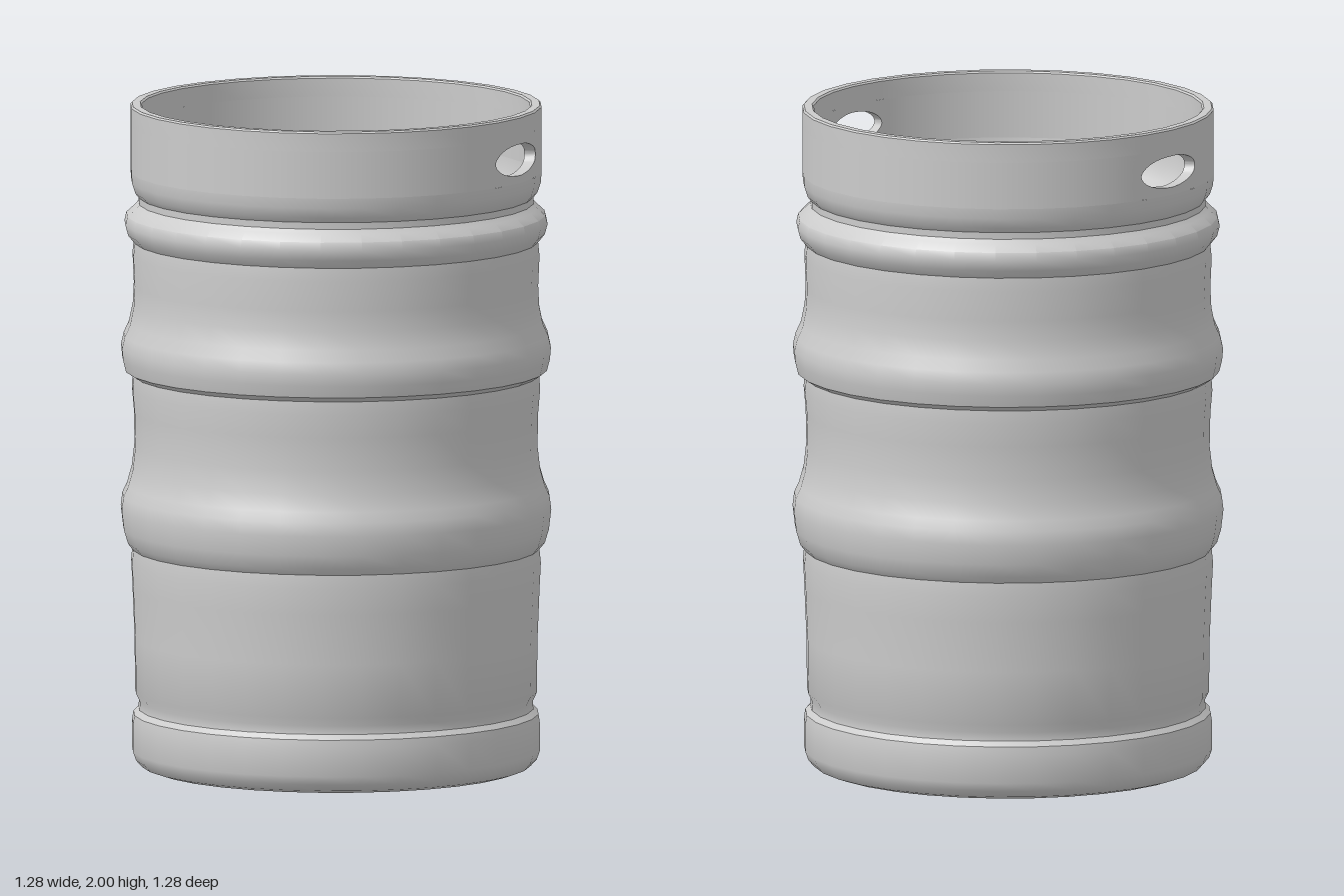
import * as THREE from 'three';
import { toCreasedNormals } from 'three/addons/utils/BufferGeometryUtils.js';

const SEGMENTS = 32;
const STEP = (Math.PI * 2) / SEGMENTS;
const OUTER = 0.612, INNER = 0.578;        // collar wall radii
const WALL_LOW = 1.8, WALL_HIGH = 1.94;    // pierced zone of the collar
const material = new THREE.MeshStandardMaterial({ color: 0xcccccc });

const vectors = (points) => points.map(([r, y]) => new THREE.Vector2(r, y));

function addMesh(parent, name, geometry) {
  const mesh = new THREE.Mesh(geometry, material);
  mesh.name = name;
  parent.add(mesh);
  return mesh;
}

// Full turned part with crisp profile corners
function turned(points) {
  return toCreasedNormals(new THREE.LatheGeometry(vectors(points), SEGMENTS), 0.6);
}

// Curved piece of collar with an oval grip hole, facing +x
function gripPanel() {
  const count = 48, wallSteps = 6;
  const midY = (WALL_LOW + WALL_HIGH) / 2, halfY = (WALL_HIGH - WALL_LOW) / 2;
  const halfAngle = STEP * 2, holeAngle = 0.215, holeY = 0.047;
  const rings = [];
  // Inner wall towards the hole, then outer wall away from it
  for (let i = wallSteps; i >= 0; i--) rings.push([INNER, i / wallSteps]);
  for (let i = 0; i <= wallSteps; i++) rings.push([OUTER, i / wallSteps]);

  const positions = [], index = [];
  rings.forEach(([radius, s], row) => {
    for (let j = 0; j < count; j++) {
      const t = (j / count) * Math.PI * 2, c = Math.cos(t), d = Math.sin(t);
      const m = Math.max(Math.abs(c), Math.abs(d));
      const angle = -THREE.MathUtils.lerp(holeAngle * c, (halfAngle * c) / m, s);
      const y = midY + THREE.MathUtils.lerp(holeY * d, (halfY * d) / m, s);
      // Follow the same facets as the turned parts
      const local = angle - Math.floor(angle / STEP + 1e-6) * STEP - STEP / 2;
      const r = (radius * Math.cos(STEP / 2)) / Math.cos(local);
      positions.push(r * Math.cos(angle), y, r * Math.sin(angle));
      if (row === 0) continue;
      const k = (j + 1) % count, low = (row - 1) * count, high = row * count;
      index.push(low + j, high + j, high + k, low + j, high + k, low + k);
    }
  });
  let geometry = new THREE.BufferGeometry();
  geometry.setAttribute('position', new THREE.Float32BufferAttribute(positions, 3));
  geometry.setIndex(index);
  geometry = toCreasedNormals(geometry, 0.6);

  // Round shading on the walls so they blend into the collar
  const p = geometry.attributes.position, n = geometry.attributes.normal;
  for (let i = 0; i < p.count; i++) {
    const length = Math.hypot(p.getX(i), p.getZ(i));
    const x = p.getX(i) / length, z = p.getZ(i) / length;
    const facing = n.getX(i) * x + n.getZ(i) * z;
    if (Math.abs(facing) > 0.8) n.setXYZ(i, x * Math.sign(facing), 0, z * Math.sign(facing));
  }
  return geometry;
}

export function createModel() {
  const keg = new THREE.Group();
  keg.name = 'keg';

  // Underside with drain hole, foot ring, ribbed barrel and neck groove
  addMesh(keg, 'barrel', turned([
    [0.05, 0], [0.33, 0], [0.55, 0.01], [0.58, 0.02], [0.598, 0.04], [0.607, 0.065],
    [0.607, 0.15], [0.603, 0.175], [0.588, 0.19], [0.586, 0.215], [0.598, 0.24],
    [0.6, 0.4], [0.606, 0.55], [0.61, 0.63], [0.606, 0.67],
    [0.622, 0.69], [0.634, 0.73], [0.641, 0.79], [0.636, 0.83], [0.622, 0.86],
    [0.608, 0.91], [0.6, 0.98], [0.602, 1.08], [0.608, 1.15], [0.605, 1.19],
    [0.628, 1.205], [0.637, 1.24], [0.64, 1.275], [0.632, 1.31], [0.616, 1.345],
    [0.605, 1.4], [0.602, 1.46], [0.606, 1.55], [0.602, 1.59],
    [0.622, 1.615], [0.63, 1.645], [0.624, 1.67], [0.6, 1.692], [0.588, 1.705],
    [0.588, 1.725], [0.6, 1.74], [0.61, 1.77], [OUTER, WALL_LOW],
  ]));

  // Collar walls between the grips
  const collar = new THREE.Group();
  collar.name = 'collar';
  keg.add(collar);
  const walls = {
    collarOuterWall: [[OUTER, WALL_LOW], [OUTER, WALL_HIGH]],
    collarInnerWall: [[INNER, WALL_HIGH], [INNER, WALL_LOW]],
  };
  for (const side of [0, Math.PI]) {
    for (const [name, points] of Object.entries(walls)) {
      addMesh(collar, name, new THREE.LatheGeometry(
        vectors(points), SEGMENTS / 2 - 4, Math.PI / 2 + STEP * 2 + side, Math.PI - STEP * 4));
    }
  }

  // Grip openings on both sides
  const panel = gripPanel();
  addMesh(collar, 'leftGrip', panel);
  addMesh(collar, 'rightGrip', panel).rotation.y = Math.PI;

  // Top rim
  addMesh(collar, 'rim', turned([
    [OUTER, WALL_HIGH], [OUTER, 1.995], [0.607, 2], [0.583, 2], [INNER, 1.995], [INNER, WALL_HIGH],
  ]));

  // Sunken head rising towards the valve
  addMesh(keg, 'head', turned([
    [INNER, WALL_LOW], [0.574, 1.76], [0.555, 1.715], [0.52, 1.685], [0.46, 1.67],
    [0.38, 1.675], [0.3, 1.695], [0.22, 1.718], [0.15, 1.735], [0.1, 1.742],
  ]));

  // Valve neck with a hollow cup
  addMesh(keg, 'valve', turned([
    [0.1, 1.735], [0.1, 1.765], [0.118, 1.775], [0.12, 1.8], [0.111, 1.8],
    [0.108, 1.785], [0.09, 1.772], [0.05, 1.764], [0, 1.762],
  ]));

  return keg;
}
